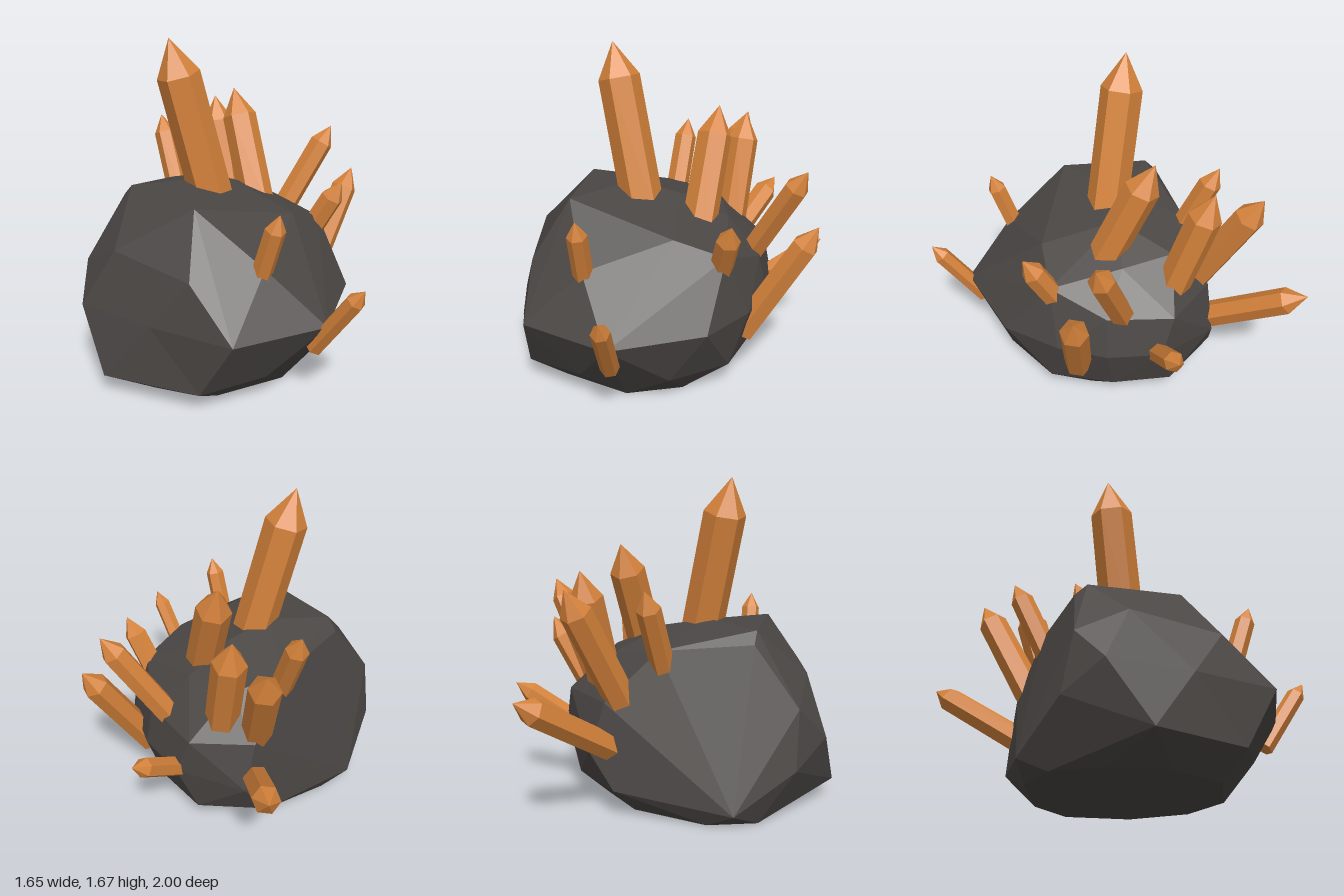
import * as THREE from 'three';
import { ConvexGeometry } from 'three/addons/geometries/ConvexGeometry.js';

const stone = new THREE.MeshStandardMaterial({ color: 0x4a4644, flatShading: true });
stone.name = 'dark stone';
const amber = new THREE.MeshStandardMaterial({ color: 0xd6833b, flatShading: true });
amber.name = 'amber crystal';

// Corners of the boulder, ring by ring
const corners = [
  // flat underside
  [-0.63, 0, 0.0], [-0.58, 0, 0.28], [-0.36, 0, 0.5], [0.0, 0, 0.54], [0.24, 0, 0.38],
  [0.35, 0, 0.08], [0.28, 0, -0.25], [0.05, 0, -0.38], [-0.35, 0, -0.38], [-0.57, 0, -0.25],
  // low ring
  [-0.82, 0.11, 0.2], [-0.52, 0.11, 0.6], [-0.19, 0.14, 0.67], [0.24, 0.14, 0.55],
  [0.45, 0.13, 0.28], [0.47, 0.14, -0.06], [0.39, 0.14, -0.35], [0.08, 0.16, -0.54],
  [-0.5, 0.08, -0.4], [-0.74, 0.28, -0.19],
  // widest ring
  [-0.83, 0.41, 0.0], [-0.71, 0.41, 0.46], [-0.44, 0.41, 0.76], [0.04, 0.41, 0.83],
  [0.42, 0.41, 0.52], [0.53, 0.41, 0.22], [0.55, 0.4, -0.04], [0.49, 0.4, -0.31], [0.21, 0.35, -0.55],
  // shoulder ring
  [-0.73, 0.58, -0.14], [-0.69, 0.7, 0.1], [-0.52, 0.65, 0.52], [-0.18, 0.68, 0.63],
  [0.42, 0.71, 0.27], [0.5, 0.61, -0.03], [0.43, 0.6, -0.36], [0.14, 0.6, -0.51],
  // crown
  [-0.5, 0.88, -0.16], [-0.08, 0.85, -0.36], [-0.49, 0.94, -0.1], [-0.39, 0.93, 0.35],
  [0.18, 0.8, 0.36], [-0.18, 0.95, 0.0], [0.06, 0.9, -0.02], [0.31, 0.79, -0.08], [0.18, 0.81, -0.32],
];

function makeBoulder() {
  const geometry = new ConvexGeometry(corners.map((c) => new THREE.Vector3(...c)));
  // Push one side corner in for a shallow dent
  const position = geometry.attributes.position;
  const dent = new THREE.Vector3(-0.71, 0.41, 0.46);
  const p = new THREE.Vector3();
  for (let i = 0; i < position.count; i++) {
    p.fromBufferAttribute(position, i);
    if (p.distanceTo(dent) < 0.001) position.setXYZ(i, -0.66, 0.41, 0.38);
  }
  geometry.computeVertexNormals();
  const mesh = new THREE.Mesh(geometry, stone);
  mesh.name = 'boulder';
  return mesh;
}

// Six-sided prism with a pointed tip, rooted a little below the stone
function makeCrystal(base, tip, radius) {
  const from = new THREE.Vector3(...base);
  const to = new THREE.Vector3(...tip);
  const direction = to.clone().sub(from).normalize();
  from.addScaledVector(direction, -0.1);
  const length = from.distanceTo(to);
  const profile = [
    [0, 0], [radius * 1.03, 0], [radius, length - radius * 1.7], [0, length],
  ].map(([r, h]) => new THREE.Vector2(r, h));
  const geometry = new THREE.LatheGeometry(profile, 6).toNonIndexed();
  geometry.computeVertexNormals();
  const mesh = new THREE.Mesh(geometry, amber);
  mesh.position.copy(from);
  mesh.quaternion.setFromUnitVectors(new THREE.Vector3(0, 1, 0), direction);
  return mesh;
}

// Name, point where it leaves the stone, tip, radius
const crystals = [
  ['tallCrystal', [-0.13, 0.9, 0.06], [-0.31, 1.67, -0.01], 0.108],
  ['crownCrystal', [0.19, 0.83, 0.0], [0.2, 1.34, -0.22], 0.09],
  ['backLeftCrystal', [0.24, 0.68, -0.34], [0.26, 1.24, -0.51], 0.085],
  ['backCrystal', [0.09, 0.58, -0.42], [0.2, 1.19, -0.74], 0.078],
  ['backSmallCrystal', [-0.09, 0.78, -0.34], [-0.09, 1.17, -0.52], 0.06],
  ['lowBackCrystal', [0.14, 0.39, -0.52], [0.31, 0.72, -1.0], 0.068],
  ['upperSideCrystal', [0.46, 0.64, -0.09], [0.73, 1.1, -0.02], 0.064],
  ['lowerSideCrystal', [0.52, 0.34, 0.12], [0.82, 0.86, 0.07], 0.07],
  ['rearSideCrystal', [0.46, 0.39, -0.28], [0.74, 0.6, -0.41], 0.052],
  ['frontSideCrystal', [0.4, 0.67, 0.27], [0.48, 0.92, 0.38], 0.06],
  ['upperFrontCrystal', [-0.18, 0.69, 0.62], [-0.16, 0.97, 0.71], 0.05],
  ['lowerFrontCrystal', [0.04, 0.36, 0.81], [0.1, 0.65, 1.0], 0.046],
];

export function createModel() {
  const model = new THREE.Group();
  model.name = 'crystalBoulder';
  model.add(makeBoulder());
  for (const [name, base, tip, radius] of crystals) {
    const crystal = makeCrystal(base, tip, radius);
    crystal.name = name;
    model.add(crystal);
  }
  return model;
}
